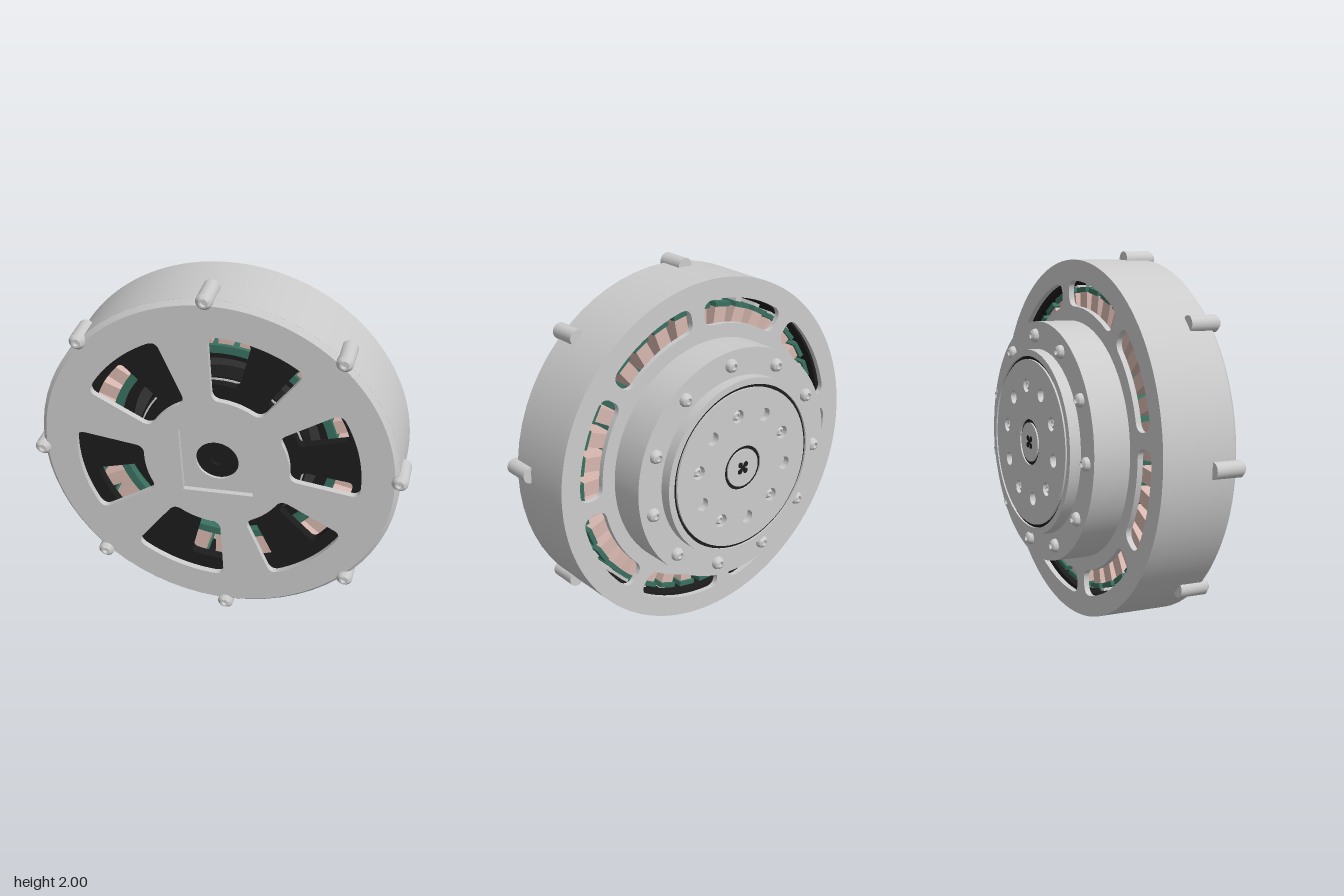
import * as THREE from 'three';
import { toCreasedNormals } from 'three/addons/utils/BufferGeometryUtils.js';

const material = (color) => new THREE.MeshStandardMaterial({ color });
const GREY = material(0xcccccc);
const BLACK = material(0x1c1c1c);
const DARK = material(0x3a3a3a);
const COPPER = material(0xd8b8b0);
const GREEN = material(0x3a7060);

const rad = THREE.MathUtils.degToRad;
const polar = (r, a) => new THREE.Vector2(r * Math.cos(a), r * Math.sin(a));

function circle(r, x = 0, y = 0, Type = THREE.Path) {
  const path = new Type();
  path.absarc(x, y, r, 0, Math.PI * 2, false);
  return path;
}

function square(half, angle, Type = THREE.Path) {
  return new Type([45, 135, 225, 315].map((d) => polar(half * Math.SQRT2, rad(d + angle))));
}

// Ring sector with rounded corners, angles in degrees
function sector(r0, r1, from, to, c) {
  const a0 = rad(from), a1 = rad(to), s = new THREE.Path();
  const line = (r, a) => { const p = polar(r, a); s.lineTo(p.x, p.y); };
  const corner = (r, a, rEnd, aEnd) => {
    const p = polar(r, a), q = polar(rEnd, aEnd);
    s.quadraticCurveTo(p.x, p.y, q.x, q.y);
  };
  const start = polar(r0 + c, a0);
  s.moveTo(start.x, start.y);
  line(r1 - c, a0);
  corner(r1, a0, r1, a0 + c / r1);
  s.absarc(0, 0, r1, a0 + c / r1, a1 - c / r1, false);
  corner(r1, a1, r1 - c, a1);
  line(r0 + c, a1);
  corner(r0, a1, r0, a1 - c / r0);
  s.absarc(0, 0, r0, a1 - c / r0, a0 + c / r0, true);
  corner(r0, a0, r0 + c, a0);
  return s;
}

// Flat part between two depths
function plate(shape, holes, z0, z1, curveSegments = 48) {
  shape.holes.push(...holes);
  const g = new THREE.ExtrudeGeometry(shape, { depth: z1 - z0, bevelEnabled: false, curveSegments });
  return toCreasedNormals(g.translate(0, 0, z0), 0.5);
}

const disc = (r, holes, z0, z1, seg) => plate(circle(r, 0, 0, THREE.Shape), holes, z0, z1, seg);

// Turned part around the z axis, from [radius, z] points
function turned(points, segments = 64) {
  const g = new THREE.LatheGeometry(points.map(([r, z]) => new THREE.Vector2(r, z)), segments);
  return toCreasedNormals(g.rotateX(Math.PI / 2), 0.5);
}

// Calls fn(angle in radians, index) for evenly spaced positions
function around(count, startDegrees, fn) {
  for (let i = 0; i < count; i++) fn(rad(startDegrees + (i * 360) / count), i);
}

export function createModel() {
  const model = new THREE.Group();
  const body = new THREE.Group();
  body.name = 'hubMotor';
  body.position.y = 1;
  model.add(body);

  const add = (name, geometry, mat) => {
    const mesh = new THREE.Mesh(geometry, mat);
    mesh.name = name;
    body.add(mesh);
    return mesh;
  };

  // Housing wall and slotted rear plate
  add('housingWall', disc(0.955, [circle(0.9)], -0.065, 0.3, 64), GREY);
  const slots = [];
  around(8, 16, (a) => {
    const d = THREE.MathUtils.radToDeg(a);
    slots.push(sector(0.71, 0.845, d - 19.5, d + 19.5, 0.06));
  });
  add('rearPlate', disc(0.955, slots, -0.095, -0.065, 64), GREY);

  // Front cover: windows, chamfered rim, square recess
  const windows = [];
  for (let i = 0; i < 6; i++) windows.push(sector(0.39, 0.762, 53.5 + 60 * i, 93 + 60 * i, 0.05));
  add('frontCover', disc(0.932, [...windows, square(0.19, 3)], 0.295, 0.328, 64), GREY);
  add('coverRim', turned([[0.9, 0.3], [0.955, 0.3], [0.955, 0.306], [0.932, 0.328]]), GREY);
  add('squareRecess', plate(square(0.19, 3, THREE.Shape), [circle(0.115)], 0.27, 0.3), GREY);
  add('frontShaft', disc(0.115, [circle(0.04)], 0.24, 0.285), BLACK);
  add('frontShaftBore', disc(0.04, [], 0.23, 0.265), BLACK);

  // Rim screws
  const rimScrew = turned([
    [0, 0.18], [0.043, 0.18], [0.043, 0.335], [0.025, 0.354], [0.016, 0.354], [0.014, 0.338], [0, 0.338],
  ], 20);
  around(8, 3, (a) => {
    const p = polar(0.957, a);
    add('rimScrew', rimScrew, GREY).position.set(p.x, p.y, 0);
  });

  // Spoked rotor with its magnet ring
  const openings = [];
  for (let i = 0; i < 6; i++) openings.push(sector(0.44, 0.715, 76.5 + 60 * i, 115.5 + 60 * i, 0.03));
  add('rotorSpokes', disc(0.885, openings, 0.2, 0.25), BLACK);
  add('rotorMagnets', disc(0.885, [circle(0.845)], -0.04, 0.2), BLACK);

  // Stator: wound teeth between green insulator flanges
  add('statorInsulator', disc(0.62, [circle(0.575)], -0.045, 0.165), GREEN);
  const coil = new THREE.BoxGeometry(0.17, 0.076, 0.17);
  const flange = new THREE.BoxGeometry(0.025, 0.1, 0.2);
  const core = new THREE.BoxGeometry(0.22, 0.04, 0.12);
  const radial = (name, geometry, mat, r, a) => {
    const p = polar(r, a), mesh = add(name, geometry, mat);
    mesh.position.set(p.x, p.y, 0.06);
    mesh.rotation.z = a;
  };
  around(36, 89, (a) => {
    radial('coil', coil, COPPER, 0.7, a);
    radial('coilFlange', flange, GREEN, 0.797, a);
    radial('statorTooth', core, GREY, 0.72, a);
  });

  // Inner carrier rings
  add('carrierRing', disc(0.575, [circle(0.52)], -0.06, 0.12), BLACK);
  add('bearingRing', disc(0.52, [circle(0.46)], -0.06, 0.09), DARK);
  add('innerHub', disc(0.46, [], -0.06, 0.2), BLACK);
  add('bearingLip', disc(0.45, [circle(0.425)], 0.1, 0.205), GREY);

  // Rear gearbox step
  add('gearboxCase', disc(0.635, [], -0.293, -0.09, 64), GREY);
  const dome = turned([
    [0, 0], [0.036, 0], [0.036, 0.008], [0.03, 0.023], [0.018, 0.032], [0.015, 0.032], [0.013, 0.018], [0, 0.018],
  ], 18).rotateY(Math.PI);
  around(11, 86, (a) => {
    const p = polar(0.56, a);
    add('gearboxScrew', dome, GREY).position.set(p.x, p.y, -0.293);
  });

  // Output flange with seal grooves and bolt holes
  add('flangeRim', disc(0.49, [circle(0.455)], -0.353, -0.293), GREY);
  add('flangeSeal', disc(0.455, [circle(0.438)], -0.342, -0.293), BLACK);
  const boltHoles = [];
  around(10, 83, (a, i) => {
    const p = polar(0.3, a);
    boltHoles.push(circle(0.036, p.x, p.y));
    if (i % 2 === 0) {
      const screw = add('flangeScrew', dome, GREY);
      screw.position.set(p.x, p.y, -0.315);
      screw.scale.set(0.85, 0.85, 1);
    }
  });
  add('outputFlange', disc(0.438, [circle(0.122), ...boltHoles], -0.353, -0.315), GREY);
  add('flangeFloor', disc(0.438, [], -0.315, -0.29), GREY);
  add('shaftSeal', disc(0.122, [circle(0.104)], -0.345, -0.315), BLACK);
  add('rearShaft', disc(0.104, [], -0.353, -0.315), GREY);

  // Connector pins in the shaft end
  const pin = disc(0.015, [], -0.3545, -0.35, 10);
  add('connectorPin', pin, BLACK);
  around(4, 48, (a) => {
    const p = polar(0.026, a);
    add('connectorPin', pin, BLACK).position.set(p.x, p.y, 0);
  });

  return model;
}
